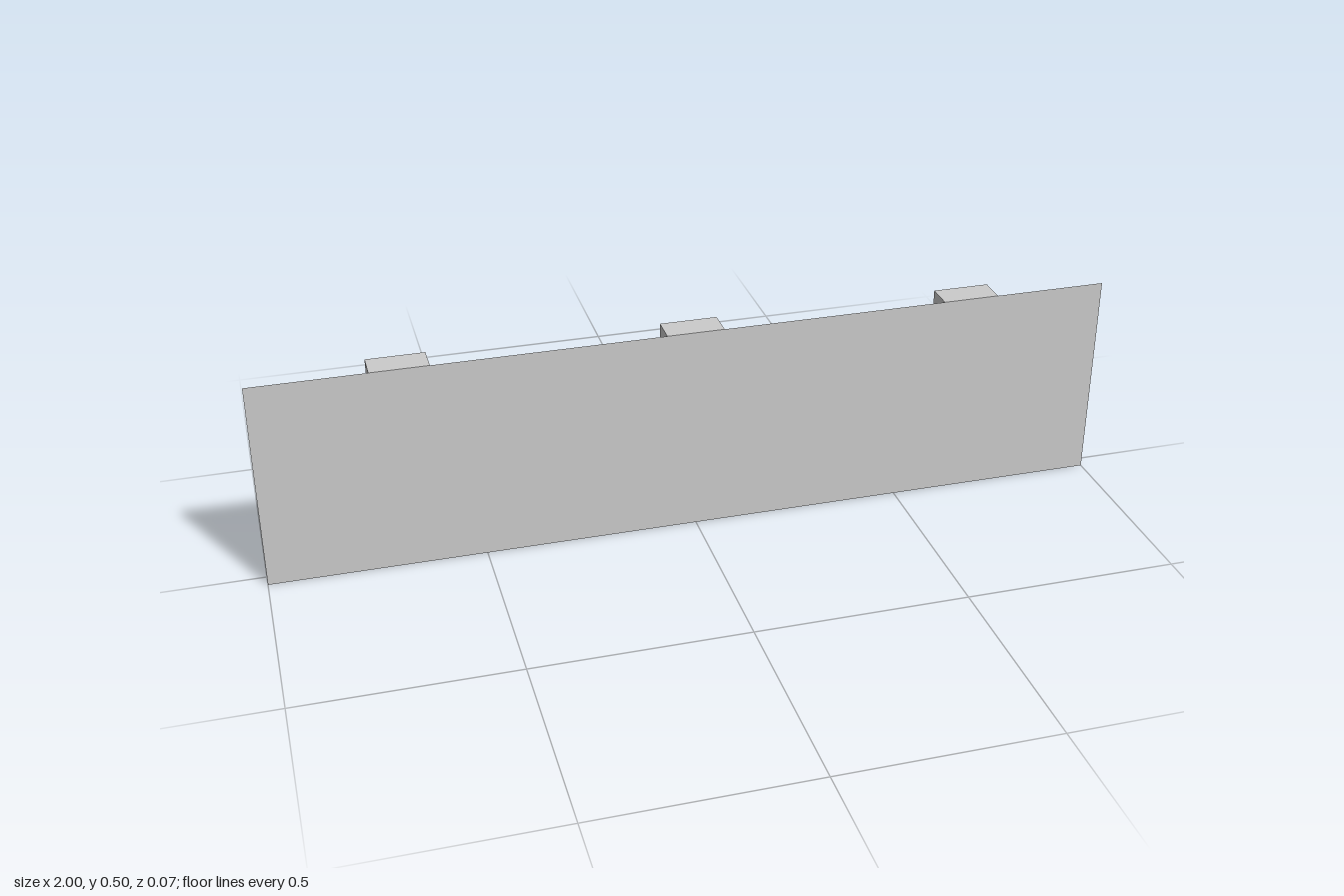
import * as THREE from 'three';

const BACK = -0.0333, FRONT = 0.0333, RECESS = -0.0167;
const material = new THREE.MeshStandardMaterial({ color: 0xcccccc, flatShading: true, side: THREE.DoubleSide });

// Post outline, counter-clockwise from the lower left; its foot is left open
const outline = [[0.0333, 0], [0.0333, 0.4], [0.0667, 0.435], [0.0667, 0.5],
  [-0.0667, 0.5], [-0.0667, 0.435], [-0.0333, 0.4], [-0.0333, 0]];
// Pointed recess in the post head, clockwise
const recess = [[-0.05, 0.483], [0.05, 0.483], [0.05, 0.437], [0, 0.401], [-0.05, 0.437]];

const toVectors = (points) => points.map(([x, y]) => new THREE.Vector2(x, y));

// Strip of flat walls along a path, from z0 to z1
function wallStrip(points, z0, z1) {
  const positions = [];
  for (let i = 0; i < points.length - 1; i++) {
    const [ax, ay] = points[i], [bx, by] = points[i + 1];
    positions.push(ax, ay, z0, bx, by, z0, bx, by, z1, ax, ay, z0, bx, by, z1, ax, ay, z1);
  }
  const geometry = new THREE.BufferGeometry();
  geometry.setAttribute('position', new THREE.Float32BufferAttribute(positions, 3));
  geometry.computeVertexNormals();
  return geometry;
}

// Flat symmetrical face turned towards the back
function backFace(points, z, hole) {
  const shape = new THREE.Shape(toVectors(points));
  if (hole) shape.holes.push(new THREE.Path(toVectors(hole)));
  return new THREE.ShapeGeometry(shape).rotateY(Math.PI).translate(0, 0, z);
}

function addMesh(parent, name, geometry) {
  const mesh = new THREE.Mesh(geometry, material);
  mesh.name = name;
  parent.add(mesh);
}

export function createModel() {
  const model = new THREE.Group();
  model.name = 'panelWall';

  // Thin front panel
  addMesh(model, 'panel', new THREE.PlaneGeometry(2, 0.5).translate(0, 0.25, FRONT));

  // Three hollow posts with widened, recessed heads
  [-0.667, 0, 0.667].forEach((x) => {
    const post = new THREE.Group();
    post.name = 'post';
    post.position.x = x;
    addMesh(post, 'postSides', wallStrip(outline, BACK, FRONT));
    addMesh(post, 'postBack', backFace(outline, BACK, recess));
    addMesh(post, 'recessSides', wallStrip([...recess, recess[0]], BACK, RECESS));
    addMesh(post, 'recessFloor', backFace(recess, RECESS));
    model.add(post);
  });
  return model;
}
